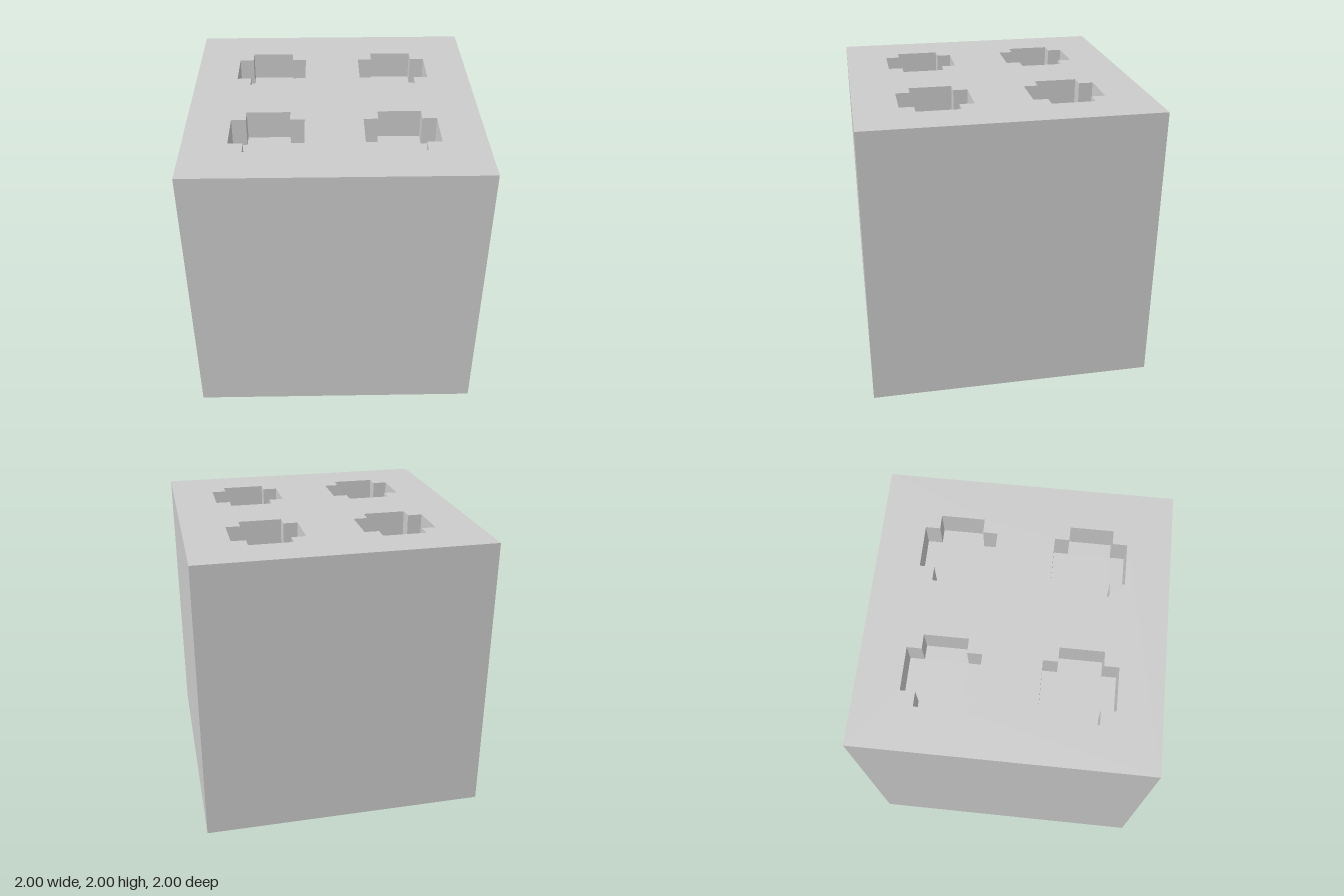
import * as THREE from 'three';

const SIZE = 2;
const DEPTH = 0.2; // pocket depth
const OUTER = 0.25, INNER = 0.15; // half-length and half-width of the cross arms
const SPACING = 0.45;

// Counter-clockwise outline of a plus-shaped pocket
function crossPoints(cx = 0, cy = 0) {
  const corner = [[OUTER, INNER], [INNER, INNER], [INNER, OUTER]];
  const points = [];
  for (let q = 0; q < 4; q++) {
    for (const [x, y] of corner) {
      points.push(new THREE.Vector2(x, y).rotateAround(new THREE.Vector2(), q * Math.PI / 2).add(new THREE.Vector2(cx, cy)));
    }
  }
  return points;
}

// Inward-facing walls running down from the rim
function wallGeometry(points) {
  const position = [];
  points.forEach((a, i) => {
    const b = points[(i + 1) % points.length];
    position.push(b.x, b.y, -DEPTH, a.x, a.y, -DEPTH, a.x, a.y, 0);
    position.push(b.x, b.y, -DEPTH, a.x, a.y, 0, b.x, b.y, 0);
  });
  const geometry = new THREE.BufferGeometry();
  geometry.setAttribute('position', new THREE.Float32BufferAttribute(position, 3));
  geometry.computeVertexNormals();
  return geometry;
}

export function createModel() {
  const model = new THREE.Group();
  model.name = 'socketBlock';
  const material = new THREE.MeshStandardMaterial({ color: 0xcccccc, flatShading: true });

  const add = (parent, name, geometry) => {
    const mesh = new THREE.Mesh(geometry, material);
    mesh.name = name;
    parent.add(mesh);
    return mesh;
  };

  // Cube sides and bottom; the top face is left out for the pierced plate
  const box = new THREE.BoxGeometry(SIZE, SIZE, SIZE);
  const faces = Array.from(box.index.array);
  faces.splice(12, 6);
  box.setIndex(faces);
  box.clearGroups();
  add(model, 'blockBody', box).position.y = SIZE / 2;

  // Top face, laid flat, with four plus-shaped openings
  const top = new THREE.Group();
  top.name = 'top';
  top.rotation.x = -Math.PI / 2;
  top.position.y = SIZE;
  model.add(top);

  const h = SIZE / 2;
  const plate = new THREE.Shape([[-h, -h], [h, -h], [h, h], [-h, h]].map(([x, y]) => new THREE.Vector2(x, y)));

  // Pockets: walls and floor under each opening
  const outline = crossPoints();
  const walls = wallGeometry(outline);
  const floor = new THREE.ShapeGeometry(new THREE.Shape(outline));
  floor.translate(0, 0, -DEPTH);
  for (const sx of [-1, 1]) {
    for (const sy of [-1, 1]) {
      const x = sx * SPACING, y = sy * SPACING;
      plate.holes.push(new THREE.Path(crossPoints(x, y)));
      const pocket = new THREE.Group();
      pocket.name = `${sy > 0 ? 'back' : 'front'}${sx > 0 ? 'Left' : 'Right'}Pocket`;
      pocket.position.set(x, y, 0);
      add(pocket, 'pocketWalls', walls);
      add(pocket, 'pocketFloor', floor);
      top.add(pocket);
    }
  }
  add(top, 'topFace', new THREE.ShapeGeometry(plate));

  return model;
}
